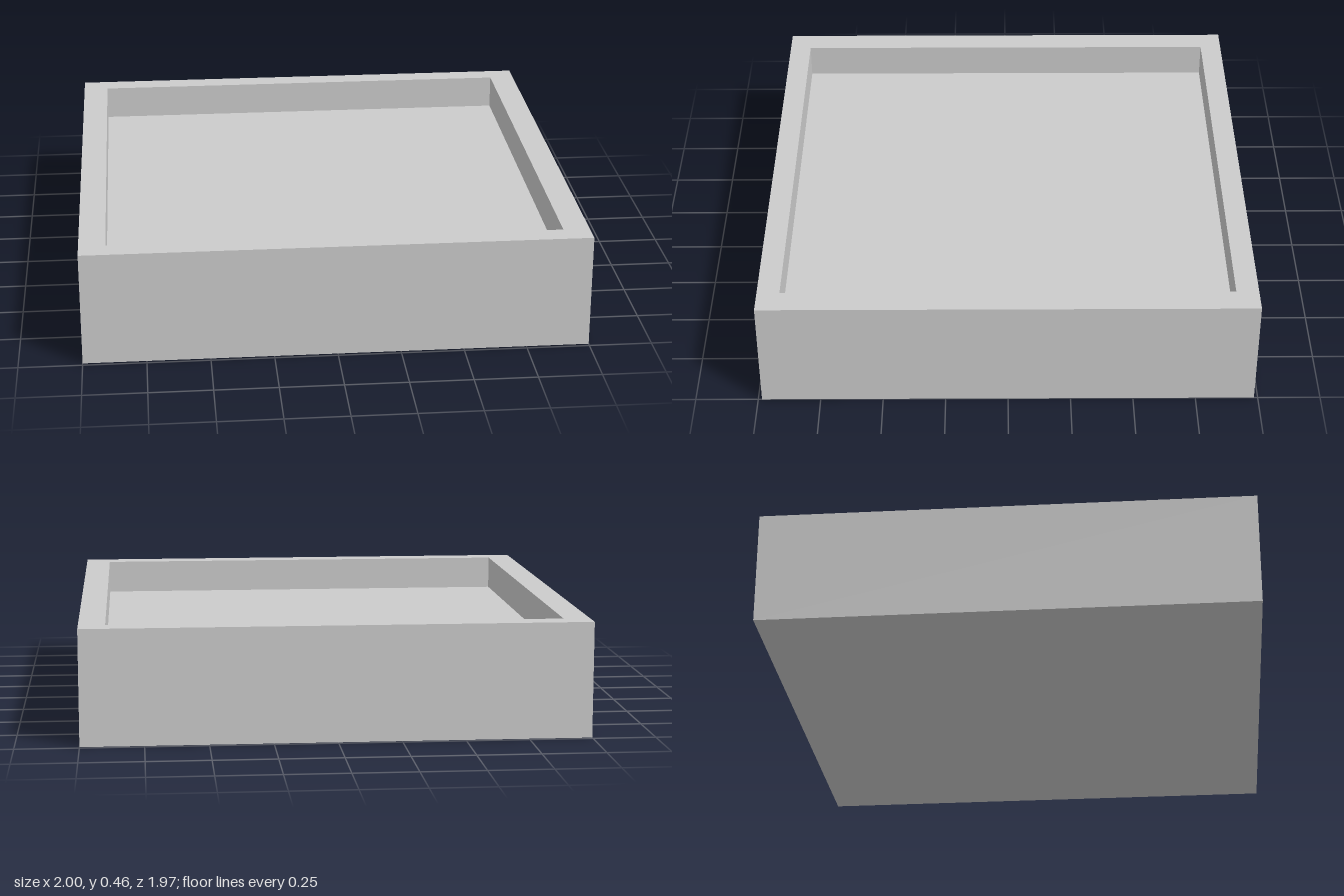
import * as THREE from 'three';

// Rectangular rings [half width, height, half depth], from the outer bottom edge
// up the wall, across the rim and down to the recessed floor
const RINGS = [
  [1, 0, 0.985],
  [1, 0.46, 0.985],
  [0.895, 0.46, 0.895],
  [0.895, 0.32, 0.895],
];
// Corner signs (x, z), counterclockwise seen from above
const CORNERS = [[1, 1], [1, -1], [-1, -1], [-1, 1]];

function trayGeometry() {
  const positions = [];
  const point = (ring, j) => {
    const [hx, y, hz] = RINGS[ring];
    const [sx, sz] = CORNERS[j % 4];
    return [sx * hx, y, sz * hz];
  };
  const quad = (a, b, c, d) => positions.push(...a, ...b, ...c, ...a, ...c, ...d);

  // Outer walls, rim and inner walls
  for (let i = 0; i < RINGS.length - 1; i++) {
    for (let j = 0; j < 4; j++) {
      quad(point(i, j), point(i, j + 1), point(i + 1, j + 1), point(i + 1, j));
    }
  }
  // Recessed floor and underside
  const last = RINGS.length - 1;
  quad(point(last, 0), point(last, 1), point(last, 2), point(last, 3));
  quad(point(0, 3), point(0, 2), point(0, 1), point(0, 0));

  const geometry = new THREE.BufferGeometry();
  geometry.setAttribute('position', new THREE.Float32BufferAttribute(positions, 3));
  geometry.computeVertexNormals();
  return geometry;
}

export function createModel() {
  const group = new THREE.Group();
  group.name = 'shallowTray';
  const material = new THREE.MeshStandardMaterial({ color: 0xcccccc, flatShading: true });
  const tray = new THREE.Mesh(trayGeometry(), material);
  tray.name = 'trayBody';
  group.add(tray);
  return group;
}
